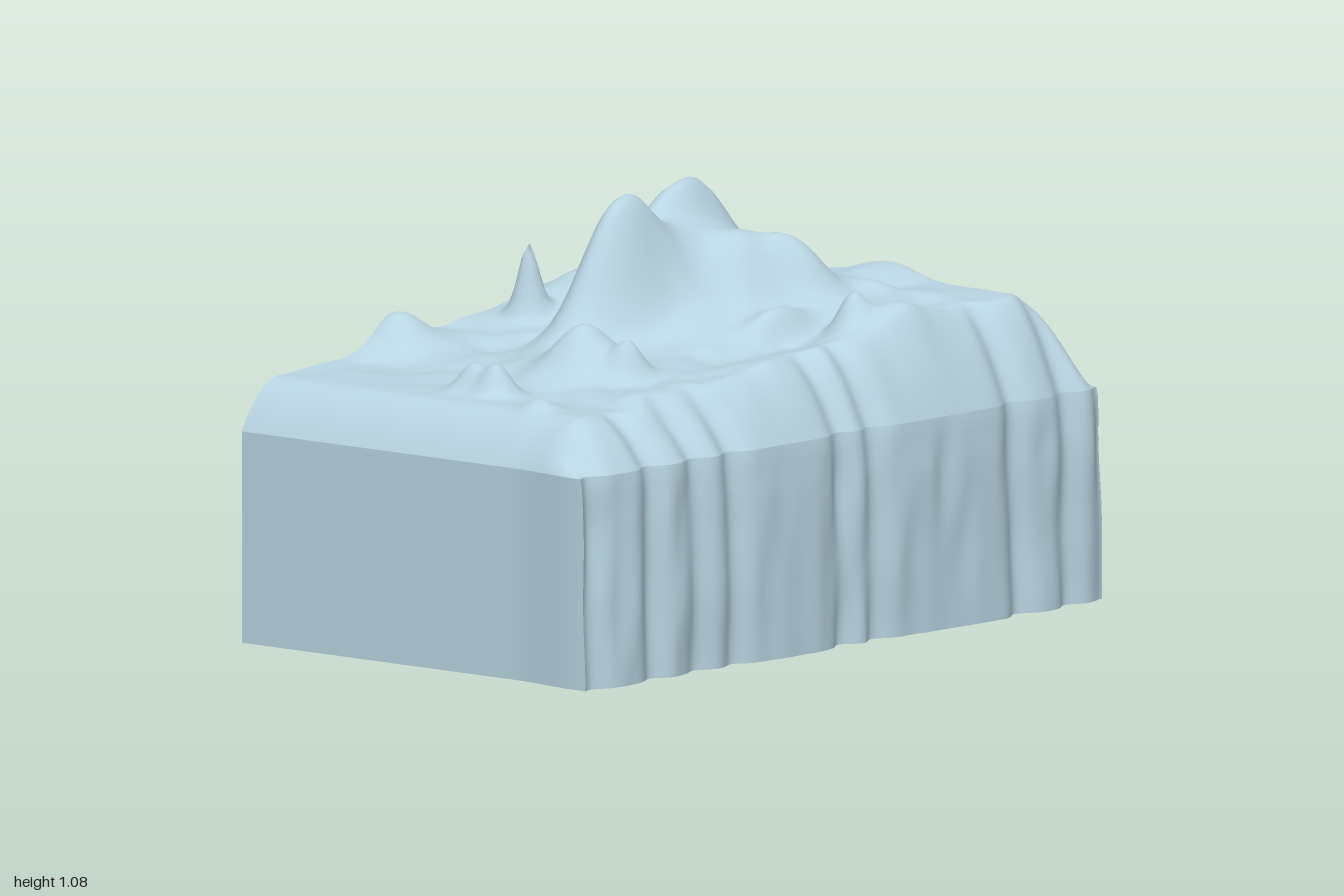
import * as THREE from 'three';

const NX = 120, NZ = 200, SKIRT = 24;
const X0 = -0.6, Y_EDGE = 0.54, Z_BACK = -1;
const { lerp, smoothstep } = THREE.MathUtils;
const bell = (d, width) => Math.exp(-0.5 * (d / width) ** 2);

// Plan outline: right side scalloped by gullies, front nearly straight
const GULLIES = [-1, -0.86, -0.66, -0.12, 0, 0.42, 0.56, 0.73, 0.96];
const rightEdge = (z) => GULLIES.reduce((x, g) => x - 0.03 * bell(z - g, 0.03), 0.573);
const frontEdge = (x) => 0.97 + 0.025 * smoothstep(x, 0.3, 0.54);

// Long ridges and summits: x, z, height, x spread, z spread
const PEAKS = [
  [-0.22, -0.3, 0.18, 0.16, 0.18],
  [-0.23, -0.31, 0.13, 0.045, 0.13],
  [-0.13, 0.08, 0.26, 0.07, 0.12],
  [-0.13, -0.05, 0.09, 0.1, 0.16],
  [0, -0.3, 0.1, 0.08, 0.14],
  [0.2, -0.18, 0.06, 0.035, 0.09],
  [0.27, -0.05, -0.03, 0.06, 0.2],
  [-0.55, -0.3, 0.04, 0.1, 0.25],
];

// Small knolls and hollows: x, z, height, spread
const KNOLLS = [
  [0.06, -0.42, 0.08, 0.06], [-0.47, 0.02, 0.17, 0.025], [-0.57, 0.4, 0.09, 0.06],
  [0.33, -0.3, 0.08, 0.035], [0.14, -0.58, 0.05, 0.055], [0.42, -0.4, 0.03, 0.07],
  [0.06, 0.41, 0.13, 0.075], [0.2, 0.4, 0.09, 0.035], [0.04, 0.72, 0.075, 0.035],
  [-0.05, 0.71, 0.07, 0.035], [0.26, 0.81, 0.025, 0.03], [-0.36, -0.53, 0.05, 0.04],
  [-0.32, 0.15, -0.03, 0.08], [0, -0.82, 0.04, 0.08],
];

// Gentle value noise
function hash(i, j) {
  const s = Math.sin(i * 127.1 + j * 311.7) * 43758.5453;
  return s - Math.floor(s) - 0.5;
}
function noise(x, z) {
  const i = Math.floor(x), j = Math.floor(z);
  const u = smoothstep(x - i, 0, 1), v = smoothstep(z - j, 0, 1);
  return lerp(lerp(hash(i, j), hash(i + 1, j), u), lerp(hash(i, j + 1), hash(i + 1, j + 1), u), v);
}

// Sloping shoulder: 0 at the rim, 1 from distance r inwards; higher power is fuller
const shoulder = (d, r, power) => 1 - (1 - Math.min(Math.max(d / r, 0), 1)) ** power;

function groundHeight(x, z, dRight, dFront, dBack) {
  let h = lerp(0.785, 0.668, smoothstep(z, -0.8, 0.85));
  for (const [px, pz, a, sx, sz] of PEAKS) h += a * bell(x - px, sx) * bell(z - pz, sz);
  for (const [kx, kz, a, s] of KNOLLS) h += a * bell(Math.hypot(x - kx, z - kz), s);
  const rough = smoothstep(Math.min(dFront, dBack), 0.1, 0.4);
  h += rough * (0.03 * noise(x * 8 + 3, z * 7) + 0.01 * noise(x * 16, z * 15 + 7));
  const round = shoulder(dRight, 0.15, 1.6) * shoulder(dFront, 0.15, 2.2) * shoulder(dBack, 0.18, 2);
  return Y_EDGE + (h - Y_EDGE) * round;
}

function terrainGeometry() {
  const pos = [], index = [];
  const ease = (t) => 1.5 * t - 0.5 * t ** 3; // packs rows near the rim
  const id = (i, j) => j * (NX + 1) + i;

  // Top surface
  for (let j = 0; j <= NZ; j++) {
    const v = (ease((j / NZ) * 2 - 1) + 1) / 2;
    for (let i = 0; i <= NX; i++) {
      const u = ease(i / NX);
      const zf = frontEdge(X0 + u * 1.14);
      const z = lerp(Z_BACK, zf, v);
      const xr = rightEdge(z);
      const x = lerp(X0, xr, u);
      pos.push(x, groundHeight(x, z, xr - x, zf - z, z - Z_BACK), z);
      if (i < NX && j < NZ) {
        index.push(id(i, j), id(i, j + 1), id(i + 1, j));
        index.push(id(i + 1, j), id(i, j + 1), id(i + 1, j + 1));
      }
    }
  }

  // Rim running along the front, the right side and the back
  const rim = [];
  for (let i = 0; i < NX; i++) rim.push(id(i, NZ));
  for (let j = NZ; j > 0; j--) rim.push(id(NX, j));
  for (let i = NX; i >= 0; i--) rim.push(id(i, 0));

  // Walls hanging from the rim, with faint ripples and a notch in the back
  let above = rim;
  for (let k = 1; k <= SKIRT; k++) {
    const t = k / SKIRT;
    const row = rim.map((r, n) => {
      const x = pos[r * 3], y = pos[r * 3 + 1], z = pos[r * 3 + 2];
      const onBack = n >= NX + NZ, onRight = n >= NX && !onBack;
      const notch = 0.1 * smoothstep(x, -0.44, -0.32) * (1 - smoothstep(x, -0.2, -0.03));
      const yy = lerp(y, onBack ? notch : 0, t);
      const bulge = onRight ? 0.018 * Math.sqrt(t) + 0.016 * noise(z * 16, yy * 5) * Math.min(1, t * 5) : 0;
      const ridge = onBack ? 0.008 * bell(yy - 0.36 - 0.02 * Math.sin(x * 6), 0.018) : 0;
      pos.push(x + bulge, yy, z + ridge);
      return pos.length / 3 - 1;
    });
    for (let n = 0; n < rim.length - 1; n++) {
      index.push(above[n], row[n], above[n + 1], above[n + 1], row[n], row[n + 1]);
    }
    above = row;
  }

  const geometry = new THREE.BufferGeometry();
  geometry.setAttribute('position', new THREE.Float32BufferAttribute(pos, 3));
  geometry.setIndex(index);
  geometry.computeVertexNormals();
  return geometry;
}

export function createModel() {
  const group = new THREE.Group();
  group.name = 'mountainTerrain';
  const material = new THREE.MeshStandardMaterial({ color: 0xb8d4e2, side: THREE.DoubleSide });
  const terrain = new THREE.Mesh(terrainGeometry(), material);
  terrain.name = 'terrainShell';
  group.add(terrain);
  return group;
}
